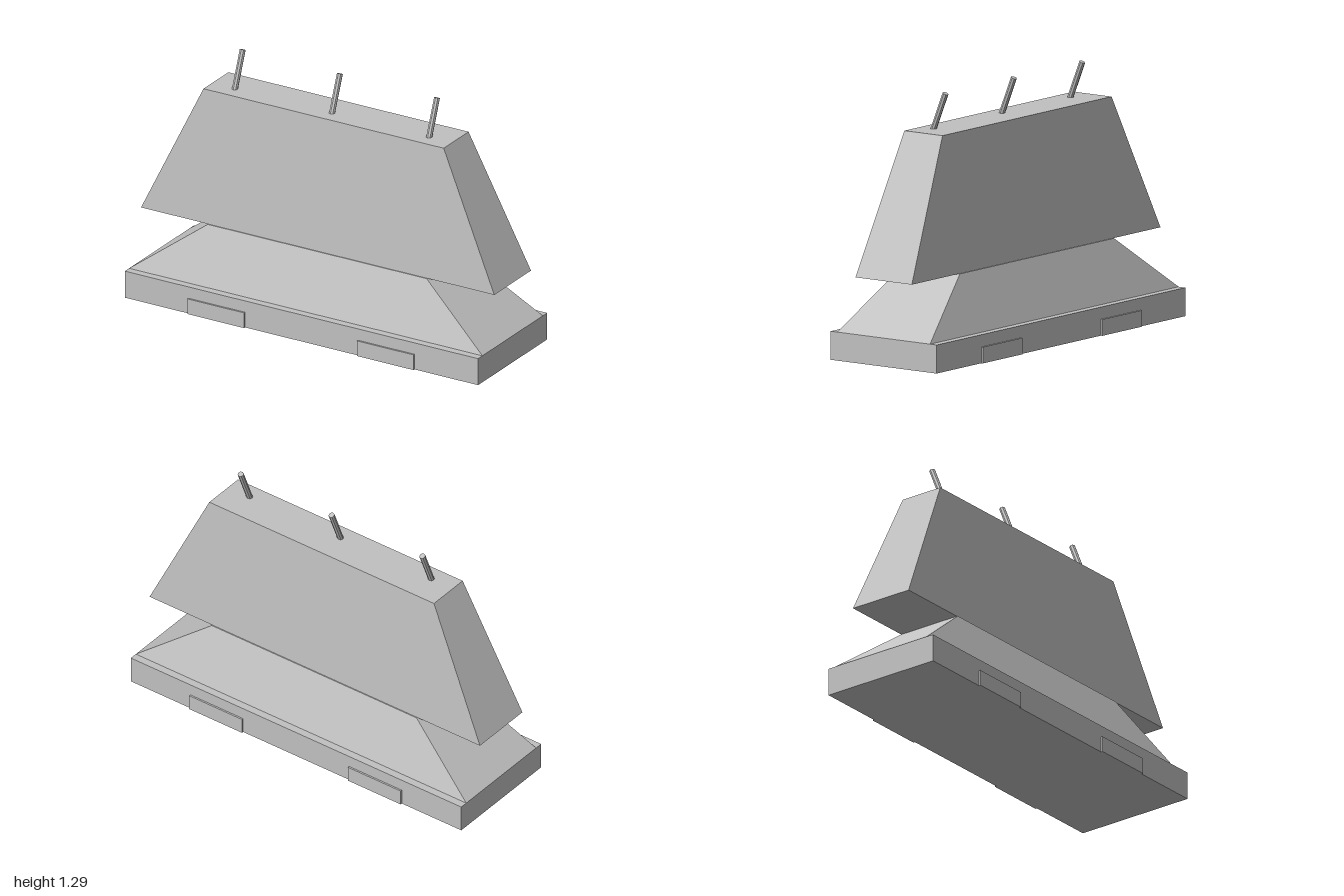
import * as THREE from 'three';

// Box whose top face is resized, giving a straight taper from bottom to top
function taperedBlock(y0, y1, bottom, top) {
  const geo = new THREE.BoxGeometry(2, y1 - y0, 2).toNonIndexed();
  geo.translate(0, (y0 + y1) / 2, 0);
  const p = geo.attributes.position;
  const mid = (y0 + y1) / 2;
  for (let i = 0; i < p.count; i++) {
    const [hx, hz] = p.getY(i) > mid ? top : bottom;
    p.setX(i, Math.sign(p.getX(i)) * hx);
    p.setZ(i, Math.sign(p.getZ(i)) * hz);
  }
  geo.computeVertexNormals();
  return geo;
}

export function createModel() {
  const group = new THREE.Group();
  const concrete = new THREE.MeshStandardMaterial({ color: 0xc0c0c0 });
  concrete.name = 'concrete grey';
  concrete.flatShading = true;

  const add = (name, geo) => {
    const mesh = new THREE.Mesh(geo, concrete);
    mesh.name = name;
    group.add(mesh);
    return mesh;
  };

  // Stacked barrier body
  add('base', taperedBlock(0, 0.14, [1, 0.32], [1, 0.32]));
  add('lowerSlope', taperedBlock(0.14, 0.42, [1, 0.28], [0.62, 0.175]));
  add('upperWall', taperedBlock(0.42, 1.1, [1, 0.17], [0.68, 0.115]));

  // Thin plates at the foot, two on each long side
  for (const x of [-0.48, 0.48]) {
    for (const side of [-1, 1]) {
      add('footPlate', new THREE.BoxGeometry(0.32, 0.08, 0.009))
        .position.set(x, 0.04, side * 0.3245);
    }
  }

  // Leaning pins along the top
  for (const x of [-0.55, 0, 0.55]) {
    const pin = add('topPin', new THREE.CylinderGeometry(0.015, 0.015, 0.22, 8));
    pin.position.set(x, 1.178, 0.005);
    pin.rotation.x = -0.38;
  }

  return group;
}
